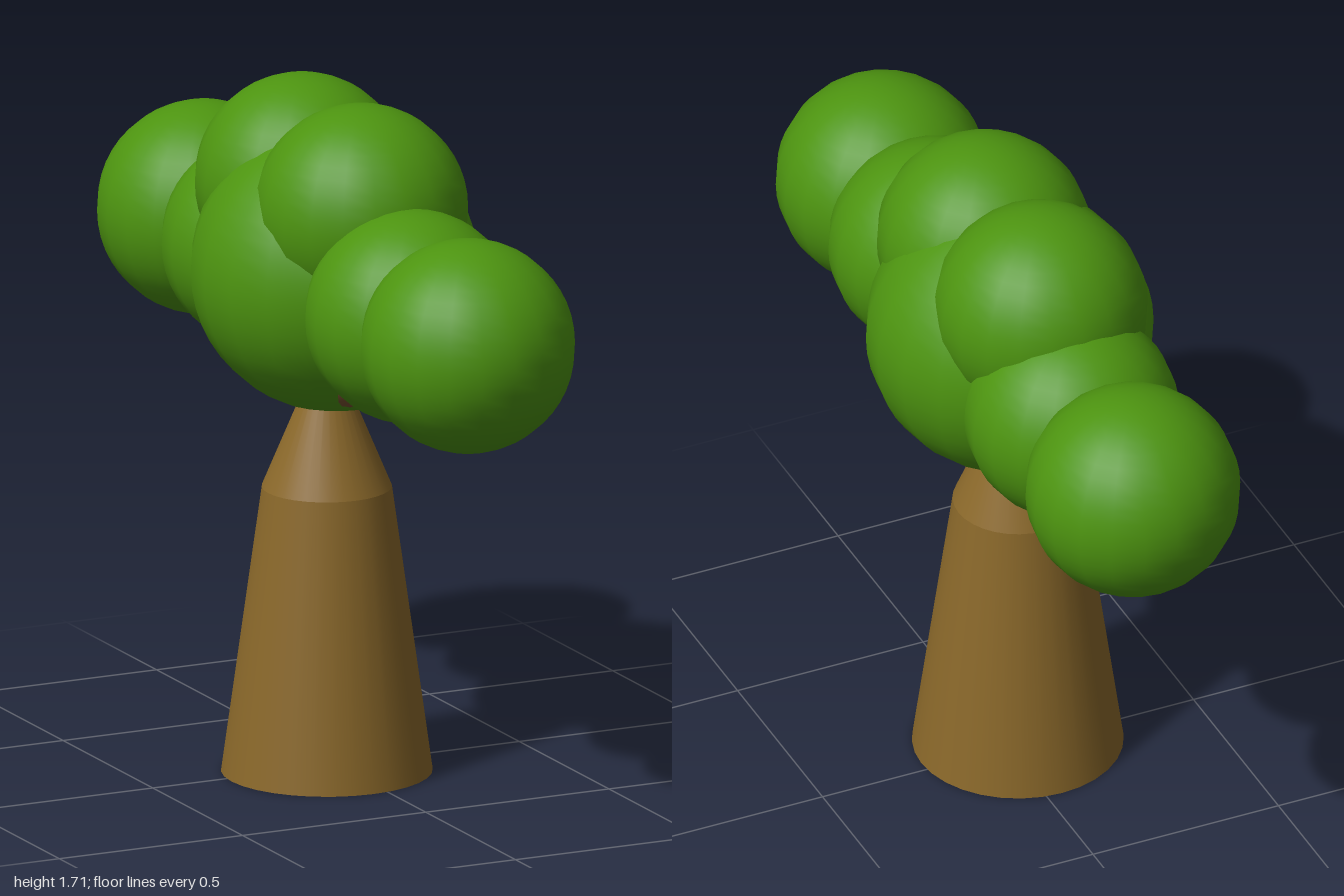
import * as THREE from 'three';

export function createModel() {
  const tree = new THREE.Group();
  tree.name = 'tree';
  const bark = new THREE.MeshStandardMaterial({ color: 0x8a682a });
  const branchBark = new THREE.MeshStandardMaterial({ color: 0x7a5230 });
  const leaf = new THREE.MeshStandardMaterial({ color: 0x4d9410 });

  const add = (name, geometry, material, x, y, z) => {
    const mesh = new THREE.Mesh(geometry, material);
    mesh.name = name;
    mesh.position.set(x, y, z);
    tree.add(mesh);
    return mesh;
  };

  // Trunk: slow taper, then a steeper shoulder running into the crown
  add('trunk', new THREE.CylinderGeometry(0.16, 0.26, 0.72, 32), bark, -0.04, 0.36, 0.03);
  add('trunkTop', new THREE.CylinderGeometry(0.03, 0.16, 0.31, 32), bark, -0.04, 0.875, 0.03);

  // Branches reaching forward and back beneath the leaves
  for (const side of [1, -1]) {
    const start = new THREE.Vector3(-0.035, 1.02, 0.02 + side * 0.08);
    const end = new THREE.Vector3(-0.02, 1.14, side * 0.52);
    const dir = end.clone().sub(start);
    const mid = start.clone().add(end).multiplyScalar(0.5);
    const branch = add(side > 0 ? 'frontBranch' : 'backBranch',
      new THREE.CylinderGeometry(0.07, 0.085, dir.length(), 20), branchBark, mid.x, mid.y, mid.z);
    branch.quaternion.setFromUnitVectors(new THREE.Vector3(0, 1, 0), dir.normalize());
  }

  // Crown: one large ball with a row of smaller ones along z
  add('crownCentre', new THREE.SphereGeometry(0.355, 20, 24), leaf, 0, 1.26, -0.01);
  const puff = new THREE.SphereGeometry(0.265, 20, 24);
  const puffs = [
    ['frontOuterLeaves', 1.24, 0.735], ['frontInnerLeaves', 1.24, 0.425],
    ['frontTopLeaves', 1.44, 0.14], ['backTopLeaves', 1.44, -0.19],
    ['backInnerLeaves', 1.24, -0.375], ['backOuterLeaves', 1.24, -0.735],
  ];
  for (const [name, y, z] of puffs) add(name, puff, leaf, 0, y, z);

  return tree;
}
